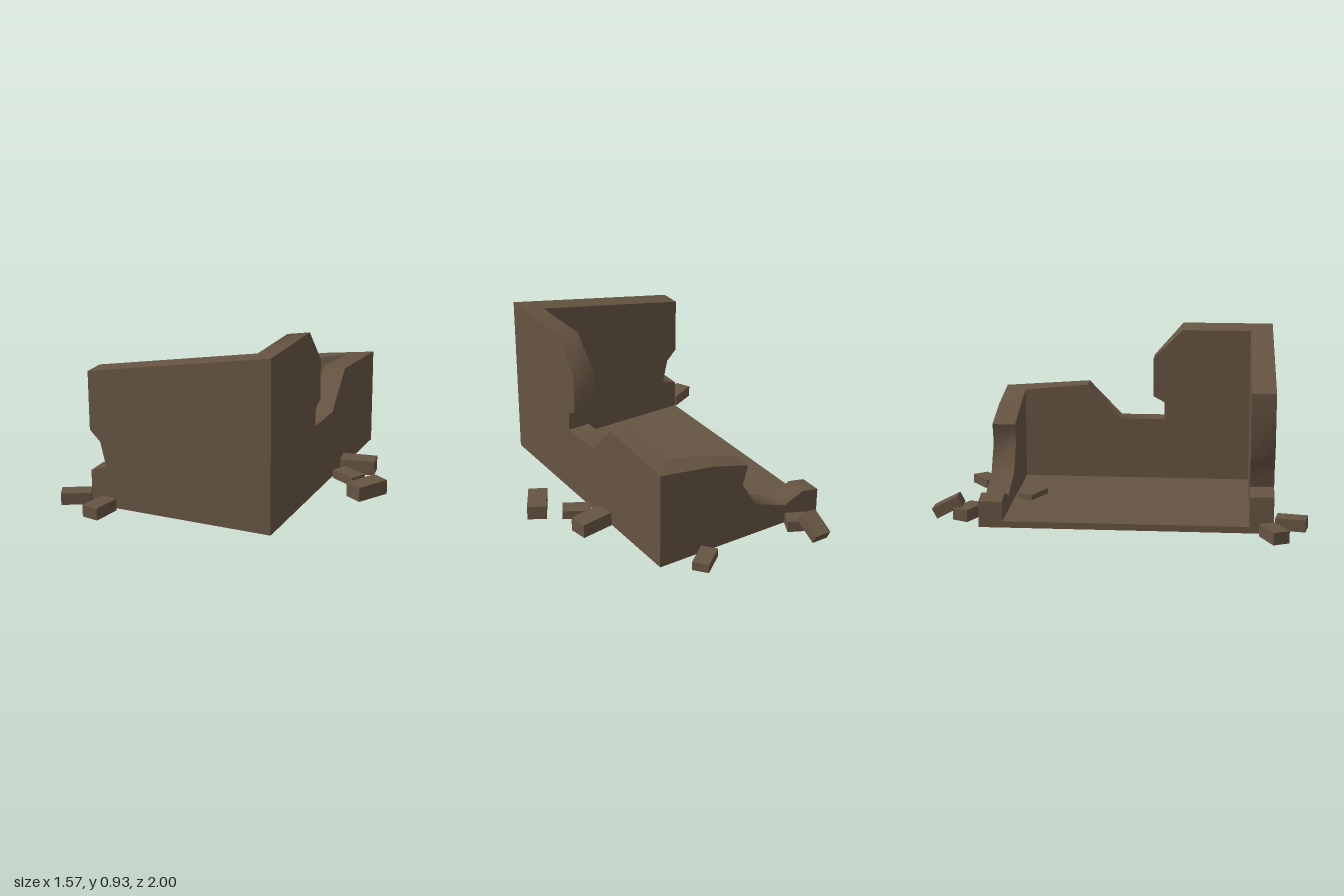
import * as THREE from 'three';
import { toCreasedNormals } from 'three/addons/utils/BufferGeometryUtils.js';

const stone = new THREE.MeshStandardMaterial({ color: 0x665442, side: THREE.DoubleSide });
stone.name = 'brownStone';

const THICK = 0.125;                               // wall thickness
const INNER = { x: 0.3, front: 0.69, back: -0.6 }; // inner faces of the walls
const near = (a, b) => Math.abs(a - b) < 1e-4;

// Remove every triangle whose three corners pass the test, then crease the rest
function openShell(geometry, isOpen) {
  const flat = geometry.index ? geometry.toNonIndexed() : geometry;
  const p = flat.attributes.position;
  const kept = [];
  for (let i = 0; i < p.count; i += 3) {
    const corners = [0, 1, 2].map(k => new THREE.Vector3().fromBufferAttribute(p, i + k));
    if (!corners.every(isOpen)) corners.forEach(c => kept.push(c.x, c.y, c.z));
  }
  const result = new THREE.BufferGeometry();
  result.setAttribute('position', new THREE.Float32BufferAttribute(kept, 3));
  return toCreasedNormals(result, 0.862);
}

function extrude(profile) {
  const shape = new THREE.Shape(profile.map(([x, y]) => new THREE.Vector2(x, y)));
  return new THREE.ExtrudeGeometry(shape, { depth: THICK, bevelEnabled: false });
}

// Mitre a wall at the corners by moving its inner vertices, and open the joints and bottom
function mitredWall(geometry) {
  const p = geometry.attributes.position;
  for (let i = 0; i < p.count; i++) {
    const x = p.getX(i), y = p.getY(i), z = p.getZ(i);
    if (near(z, INNER.front) || near(z, INNER.back)) p.setX(i, Math.min(x, INNER.x));
    if (near(x, INNER.x)) p.setZ(i, Math.min(INNER.front, Math.max(INNER.back, z)));
    // The highest edge leans inward to follow the front wall's slope
    if (near(p.getX(i), INNER.x) && y > 0.9) p.setY(i, 0.907);
  }
  const eachPlane = [
    v => near(v.y, 0),
    v => near(v.x - INNER.x, v.z - INNER.front),
    v => near(v.x - INNER.x, INNER.back - v.z),
  ];
  return eachPlane.reduce((g, onPlane) => openShell(g, onPlane), geometry);
}

// Box without its underside
function openBox(length, height, width) {
  return openShell(new THREE.BoxGeometry(length, height, width), v => near(v.y, -height / 2));
}

export function createModel() {
  const model = new THREE.Group();
  model.name = 'ruinedBuilding';

  function add(name, geometry) {
    const mesh = new THREE.Mesh(geometry, stone);
    mesh.name = name;
    model.add(mesh);
    return mesh;
  }

  // Front wall: sloping top and a bite out of its free end
  add('frontWall', mitredWall(extrude([
    [-0.6, 0], [0.425, 0], [0.425, 0.93], [-0.6, 0.74],
    [-0.6, 0.42], [-0.54, 0.36], [-0.51, 0.225], [-0.6, 0.195],
  ]).translate(0, 0, INNER.front)));

  // Side wall: profile runs along -z, with a collapsed gap in the middle
  add('sideWall', mitredWall(extrude([
    [-0.815, 0], [0.725, 0], [0.725, 0.547], [0.24, 0.582], [0.05, 0.385], [-0.205, 0.385],
    [-0.205, 0.485], [-0.14, 0.52], [-0.14, 0.74], [-0.305, 0.93], [-0.815, 0.93],
  ]).rotateY(Math.PI / 2).translate(INNER.x, 0, 0)));

  // Back wall: mostly crumbled away toward its free end
  add('backWall', mitredWall(extrude([
    [-0.6, 0], [0.425, 0], [0.425, 0.547], [0.1, 0.5], [-0.12, 0.44],
    [-0.09, 0.33], [-0.18, 0.18], [-0.38, 0.11], [-0.5, 0.16], [-0.6, 0.14],
  ]).translate(0, 0, INNER.back - THICK)));

  // Raised floor, hollow underneath
  add('floor', openBox(0.9, 0.035, 1.29)).position.set(-0.15, 0.0175, 0.045);

  // Fallen bricks: x, z, length, height, width, turn
  const bricks = [
    [0.53, -0.206, 0.193, 0.08, 0.105, 0.16],
    [0.53, -0.046, 0.16, 0.05, 0.092, -0.51],
    [0.69, 0.113, 0.195, 0.08, 0.105, 1.04],
    [-0.695, 0.815, 0.16, 0.065, 0.092, 0.45],
    [-0.503, 0.91, 0.16, 0.065, 0.095, 1.39],
    [0.208, -0.818, 0.163, 0.05, 0.092, 0.68],
    [-0.428, -0.808, 0.163, 0.065, 0.092, -0.45],
    [-0.12, -0.505, 0.163, 0.065, 0.092, -0.45],
  ];
  for (const [x, z, length, height, width, turn] of bricks) {
    const brick = add('fallenBrick', openBox(length, height, width));
    brick.position.set(x, height / 2, z);
    brick.rotation.y = turn;
  }

  // Brick leaning on its neighbour
  const leaning = add('leaningBrick', openBox(0.095, 0.06, 0.155));
  leaning.position.set(-0.428, 0.064, -0.917);
  leaning.rotation.x = -0.48;

  return model;
}
